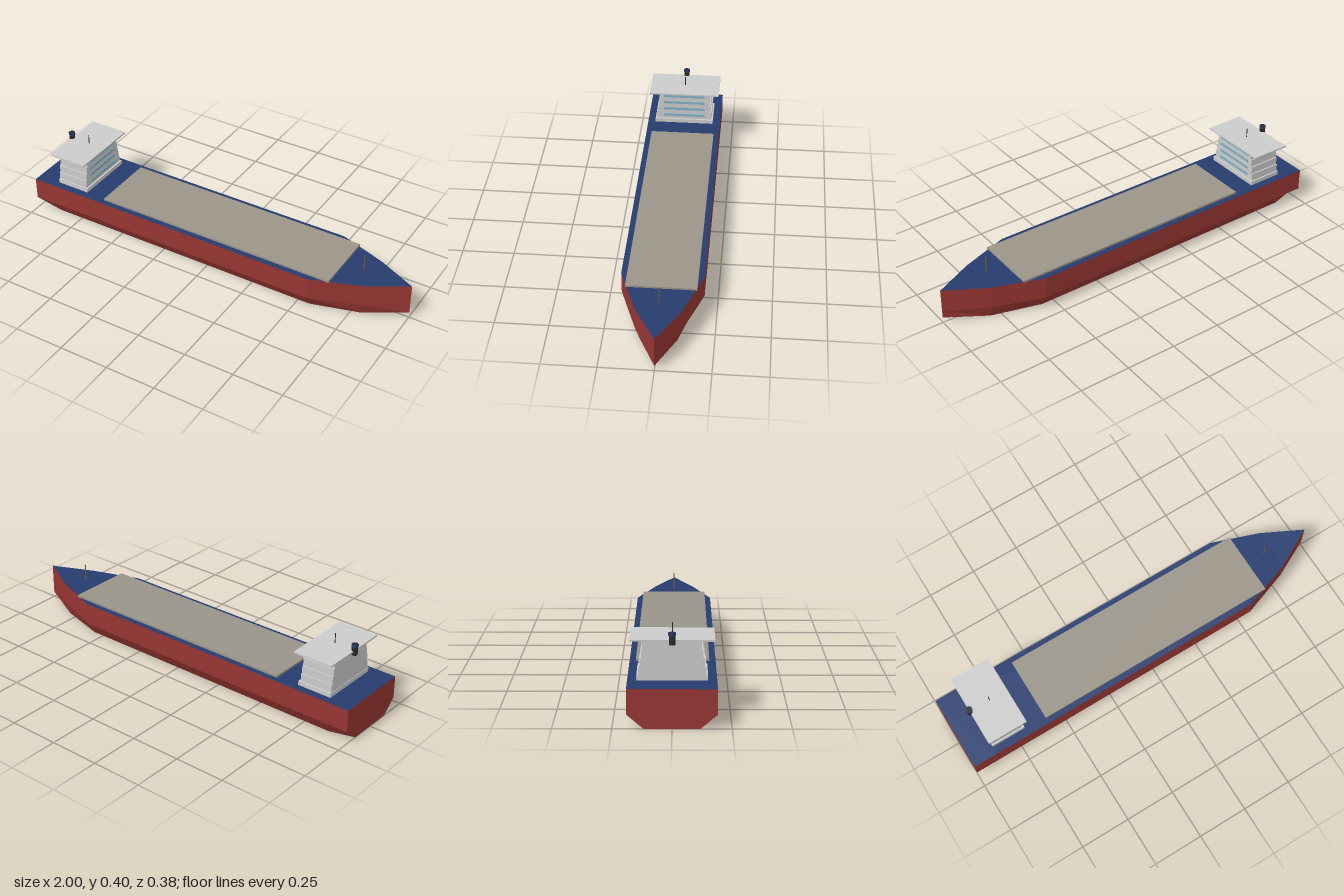
import * as THREE from 'three';

const mat = (color) => new THREE.MeshStandardMaterial({ color, flatShading: true });
const RED = mat(0x963632), NAVY = mat(0x263c6e), HATCH = mat(0x9a9488), GREY = mat(0xcccccc);
const GLASS = mat(0x7fb0c4), BLACK = mat(0x2a2a2e), BROWN = mat(0x7a6030);

// Hull stations from stern to bow: x, deck y, half beam, keel y, half bottom width
const STATIONS = [
  [-1, 0.173, 0.19, 0, 0.118],
  [-0.88, 0.173, 0.19, 0, 0.152],
  [0.56, 0.173, 0.19, 0, 0.152],
  [0.8, 0.174, 0.105, 0, 0.084],
  [1, 0.182, 0, 0.028, 0],
];
const CHINE = 0.062;

// Section ring: from the left deck edge, down round the bottom, to the right deck edge
const ring = ([x, top, w, low, b]) => [
  [x, top, w], [x, CHINE, w], [x, low, b], [x, low, -b], [x, CHINE, -w], [x, top, -w],
];

function facesToGeometry(points) {
  const geo = new THREE.BufferGeometry();
  geo.setAttribute('position', new THREE.Float32BufferAttribute(points.flat(), 3));
  geo.computeVertexNormals();
  return geo;
}

export function createModel() {
  const ship = new THREE.Group();
  ship.name = 'cargoShip';

  const add = (parent, name, geometry, material, x = 0, y = 0, z = 0) => {
    const mesh = new THREE.Mesh(geometry, material);
    mesh.name = name;
    mesh.position.set(x, y, z);
    parent.add(mesh);
    return mesh;
  };
  // Box given by its extents in x and y and its half width in z
  const box = (parent, name, material, x0, x1, y0, y1, half) =>
    add(parent, name, new THREE.BoxGeometry(x1 - x0, y1 - y0, half * 2), material, (x0 + x1) / 2, (y0 + y1) / 2);
  // Upright cylinder between two heights
  const post = (parent, name, material, x, y0, y1, r, sides = 8) =>
    add(parent, name, new THREE.CylinderGeometry(r, r, y1 - y0, sides), material, x, (y0 + y1) / 2);

  // Hull plating and deck, panel by panel between stations
  const rings = STATIONS.map(ring);
  const plating = [], deck = [];
  for (let s = 0; s < rings.length - 1; s++) {
    const A = rings[s], B = rings[s + 1];
    for (let k = 0; k < 6; k++) {
      const n = (k + 1) % 6;
      (k === 5 ? deck : plating).push(A[k], A[n], B[n], A[k], B[n], B[k]);
    }
  }
  // Flat transom at the stern
  for (let i = 1; i < 5; i++) plating.push(rings[0][0], rings[0][i + 1], rings[0][i]);
  add(ship, 'hull', facesToGeometry(plating), RED);
  add(ship, 'deck', facesToGeometry(deck), NAVY);

  // Long cargo hatch cover
  box(ship, 'hatchCover', HATCH, -0.595, 0.657, 0.172, 0.183, 0.162);

  // Deckhouse: stepped tiers, each with a window strip facing the bow
  const house = new THREE.Group();
  house.name = 'deckhouse';
  ship.add(house);
  box(house, 'houseBase', GREY, -0.88, -0.705, 0.172, 0.194, 0.151);
  for (let i = 0; i < 4; i++) {
    const y = 0.194 + i * 0.038;
    box(house, 'houseTier', GREY, -0.878, -0.714, y, y + 0.038, 0.144 - i * 0.0063);
    box(house, 'windowStrip', GLASS, -0.716, -0.711, y + 0.015, y + 0.028, 0.106);
  }
  box(house, 'bridgeRoof', GREY, -0.895, -0.695, 0.346, 0.354, 0.18);

  // Funnel with its cap band
  const funnel = new THREE.Group();
  funnel.name = 'funnel';
  ship.add(funnel);
  post(funnel, 'funnelPipe', BLACK, -0.895, 0.333, 0.386, 0.014, 12);
  post(funnel, 'funnelBand', NAVY, -0.895, 0.374, 0.385, 0.0165, 12);

  // Masts
  post(ship, 'radarMast', BLACK, -0.79, 0.352, 0.402, 0.002);
  post(ship, 'bowMast', BROWN, 0.757, 0.172, 0.261, 0.003);

  return ship;
}
